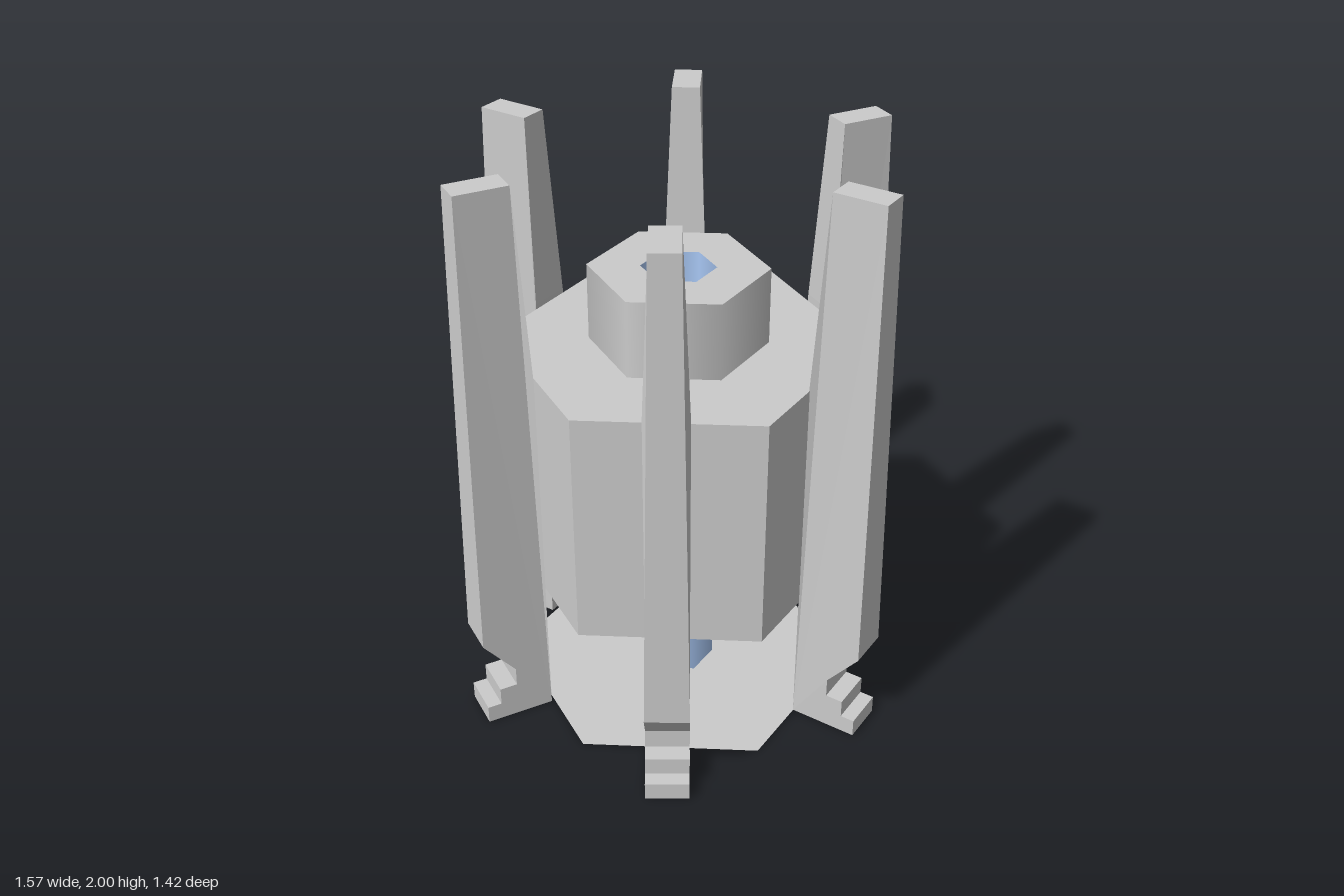
import * as THREE from 'three';

const CX = -0.005; // axis of the hexagonal core

export function createModel() {
  const model = new THREE.Group();
  const flat = new THREE.MeshStandardMaterial({ color: 0xcccccc, flatShading: true, side: THREE.DoubleSide });
  const smooth = new THREE.MeshStandardMaterial({ color: 0xcccccc, side: THREE.DoubleSide });
  const blue = new THREE.MeshStandardMaterial({ color: 0xa9c8f5, side: THREE.DoubleSide });

  const add = (name, geometry, material, y) => {
    const mesh = new THREE.Mesh(geometry, material);
    mesh.name = name;
    mesh.position.set(CX, y, 0);
    model.add(mesh);
    return mesh;
  };
  // Open six-sided wall between two heights, with corners on the z axis
  const wall = (name, r, y0, y1, material) =>
    add(name, new THREE.CylinderGeometry(r, r, y1 - y0, 6, 1, true), material, (y0 + y1) / 2);
  // Flat hexagonal ring facing up
  const ring = (name, inner, outer, y) =>
    add(name, new THREE.RingGeometry(inner, outer, 6, 1, Math.PI / 2).rotateX(-Math.PI / 2), flat, y);

  // Hollow core: housing, collar, bore tube and base plate
  wall('housingWall', 0.61, 0.49, 1.33, flat);
  ring('housingTop', 0.3, 0.61, 1.33);
  wall('collarWall', 0.3, 1.33, 1.6, smooth);
  ring('collarTop', 0.125, 0.3, 1.6);
  wall('boreTube', 0.125, 0, 1.6, blue);
  add('basePlate', new THREE.CircleGeometry(0.61, 6, Math.PI / 2).rotateX(Math.PI / 2), flat, 0);

  // Fin profile: x runs outward from the fin's middle, y is up
  const profile = [
    [-0.12, 0], [0.12, 0], [0.12, 0.065], [0.07, 0.065], [0.07, 0.13], [0.008, 0.13],
    [0.008, 0.2], [0.12, 0.34], [0.09, 2], [-0.09, 2], [-0.12, 1.34],
  ].map(([x, y]) => new THREE.Vector2(x, y));
  const finGeometry = new THREE.ExtrudeGeometry(new THREE.Shape(profile), { depth: 0.15, bevelEnabled: false });
  finGeometry.translate(0, 0, -0.075);
  // Narrow the fin towards its tip
  const pos = finGeometry.attributes.position;
  for (let i = 0; i < pos.count; i++) {
    if (pos.getY(i) > 1.9) pos.setZ(i, pos.getZ(i) * 0.64);
  }
  finGeometry.computeVertexNormals();

  // Six fins around the core: x, z and heading in degrees
  const fins = [
    [0.66, 0, 0], [0.315, -0.568, 60], [-0.332, -0.57, 119],
    [-0.665, -0.023, 180], [-0.332, 0.564, 243], [0.335, 0.551, 300],
  ];
  fins.forEach(([x, z, heading], i) => {
    const fin = add('fin' + (i + 1), finGeometry, flat, 0);
    fin.position.set(x, 0, z);
    fin.rotation.y = THREE.MathUtils.degToRad(heading);
  });

  return model;
}
